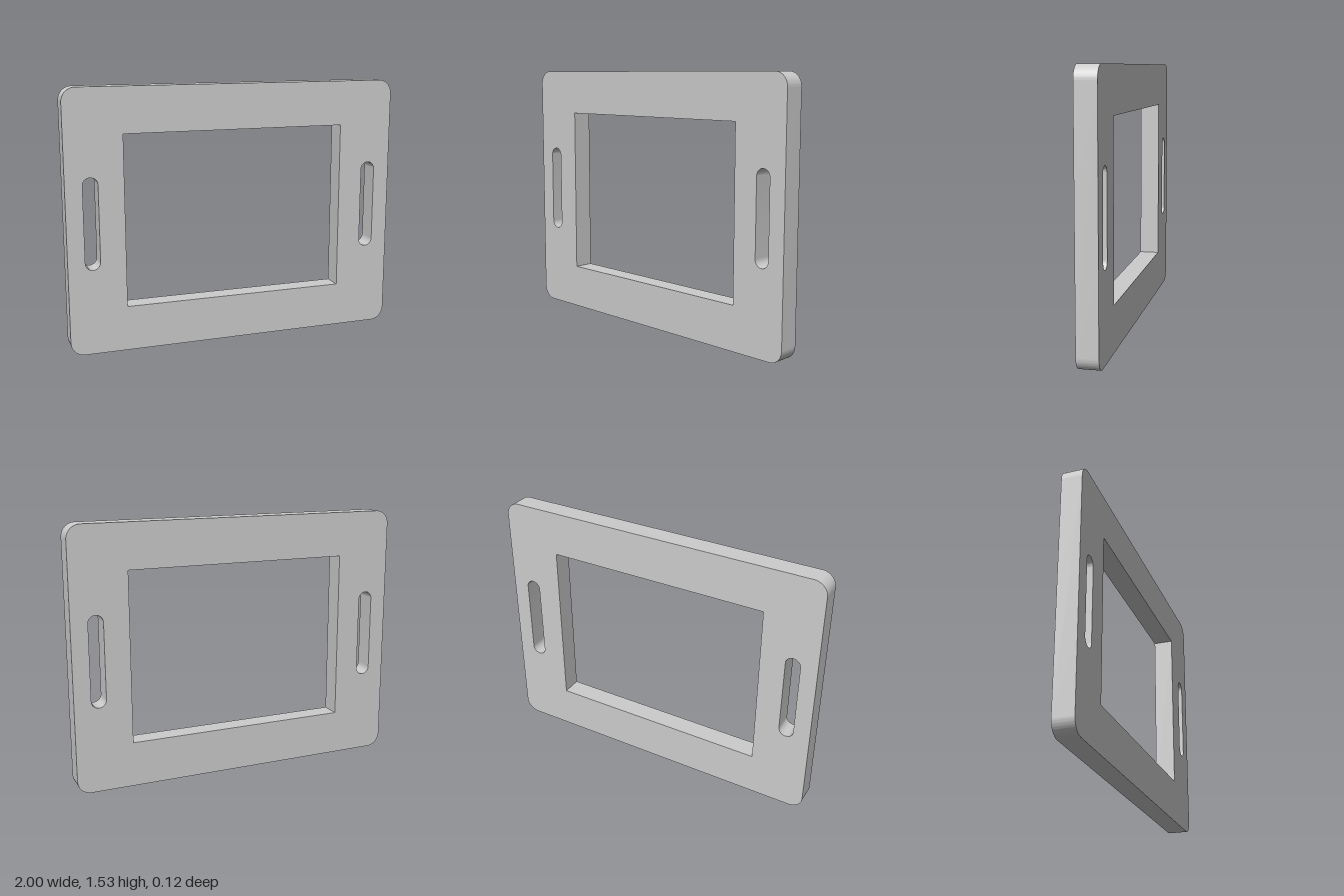
import * as THREE from 'three';
import { toCreasedNormals } from 'three/addons/utils/BufferGeometryUtils.js';

const HEIGHT = 1.527, DEPTH = 0.12, MID = HEIGHT / 2;

// Rounded rectangle outline centred on (cx, cy)
function roundedRect(path, cx, cy, w, h, r) {
  const x = w / 2 - r, y = h / 2 - r;
  path.moveTo(cx - x, cy - y - r);
  path.lineTo(cx + x, cy - y - r);
  path.absarc(cx + x, cy - y, r, -Math.PI / 2, 0, false);
  path.absarc(cx + x, cy + y, r, 0, Math.PI / 2, false);
  path.absarc(cx - x, cy + y, r, Math.PI / 2, Math.PI, false);
  path.absarc(cx - x, cy - y, r, Math.PI, Math.PI * 1.5, false);
  path.closePath();
  return path;
}

export function createModel() {
  const group = new THREE.Group();
  group.name = 'framePanel';

  // Outer plate
  const plate = roundedRect(new THREE.Shape(), 0, MID, 2, HEIGHT, 0.08);

  // Sharp-cornered central window
  const w = 0.666, h = 0.5;
  plate.holes.push(new THREE.Path([
    new THREE.Vector2(-w, MID - h), new THREE.Vector2(-w, MID + h),
    new THREE.Vector2(w, MID + h), new THREE.Vector2(w, MID - h),
  ]));

  // Round-ended hand slots on both sides
  for (const side of [-1, 1]) {
    plate.holes.push(roundedRect(new THREE.Path(), side * 0.858, MID, 0.087, 0.53, 0.0434));
  }

  const geometry = new THREE.ExtrudeGeometry(plate, { depth: DEPTH, bevelEnabled: false, curveSegments: 16 });
  geometry.translate(0, 0, -DEPTH / 2);
  const frame = new THREE.Mesh(
    toCreasedNormals(geometry, 0.6),
    new THREE.MeshStandardMaterial({ color: 0xcccccc }),
  );
  frame.name = 'frame';
  group.add(frame);
  return group;
}
